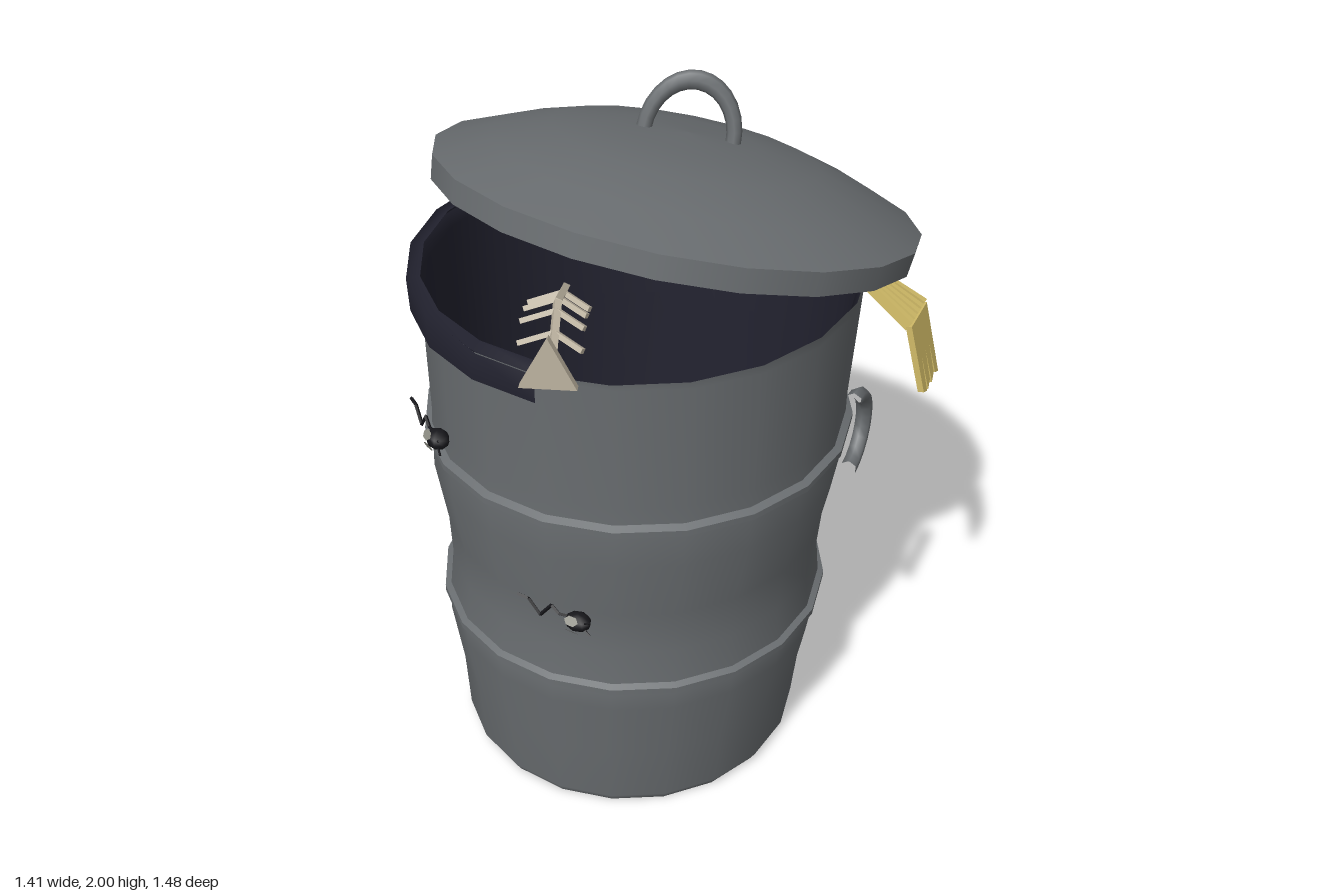
import * as THREE from 'three';

const mat = (name, color, side = THREE.FrontSide) => {
  const m = new THREE.MeshStandardMaterial({ color, side });
  m.name = name;
  return m;
};

export function createModel() {
  const metal = mat('grey metal', 0x6a6e71);
  const bag = mat('dark bag', 0x22222f, THREE.DoubleSide);
  const yellow = mat('peel yellow', 0xd2bc68);
  const bone = mat('bone', 0xbfb5a2);
  const black = mat('bug black', 0x18181c);
  const wing = mat('wing grey', 0x8a8a80, THREE.DoubleSide);

  const root = new THREE.Group();
  const add = (name, geo, material, parent = root) => {
    const m = new THREE.Mesh(geo, material);
    m.name = name;
    parent.add(m);
    return m;
  };
  const SIDES = 20;
  const v = (...p) => new THREE.Vector3(...p);
  const lathe = (pts, seg = SIDES, start = 0, len = Math.PI * 2) =>
    new THREE.LatheGeometry(pts.map(p => new THREE.Vector2(...p)), seg, start, len);

  // The can leans slightly to its left and its lip is pulled out at the front
  const lean = new THREE.Matrix4().set(1, 0.033, 0, -0.11, 0, 1, 0, 0, 0, 0, 1, -0.042, 0, 0, 0, 1);
  const canPart = geo => {
    const p = geo.attributes.position;
    for (let i = 0; i < p.count; i++)
      if (p.getY(i) > 1.52) p.setZ(i, p.getZ(i) + 0.045 * Math.max(0, p.getZ(i)));
    return geo.applyMatrix4(lean);
  };

  // Can body
  add('canBody', canPart(lathe([[0.48, 0], [0.497, 0.03], [0.51, 0.22], [0.541, 0.42], [0.541, 0.5],
    [0.527, 0.62], [0.535, 0.76], [0.567, 0.95], [0.567, 1.07], [0.565, 1.14], [0.577, 1.5], [0.582, 1.535]])), metal);
  add('canBottom', new THREE.CircleGeometry(0.48, SIDES).rotateZ(Math.PI / 2).rotateX(Math.PI / 2).applyMatrix4(lean), metal);
  add('canLining', canPart(lathe([[0.582, 1.535], [0.565, 1.5], [0.553, 1.1], [0.515, 0.6], [0.48, 0.06], [0, 0.06]])), bag);

  // Raised hoops, each made of two creased bands
  for (const [r, y] of [[0.556, 0.5], [0.586, 1.07]]) {
    const bands = [[[r - 0.03, y - 0.026], [r, y - 0.008]], [[r, y - 0.008], [r, y + 0.01]], [[r, y + 0.01], [r - 0.03, y + 0.024]]];
    for (const b of bands) add('hoop', lathe(b).applyMatrix4(lean), metal);
  }

  // Bag folded over the rim
  const fold = add('bagFold', lathe([[0.6, 1.44], [0.606, 1.535], [0.57, 1.538]], 8,
    -Math.PI * 0.8, Math.PI * 0.8).applyMatrix4(lean), bag);
  fold.position.set(-0.012, 0, -0.01);

  // Side handles, half rings bulging to the back
  for (const x of [-0.685, 0.535]) {
    const h = add('sideHandle', new THREE.TorusGeometry(0.108, 0.022, 6, 10, Math.PI), metal);
    h.geometry.rotateZ(Math.PI / 2).rotateY(-Math.PI / 2);
    h.position.set(x, 1.14, -0.04);
  }

  // Tilted lid
  const lid = new THREE.Group();
  lid.name = 'lid';
  lid.position.set(-0.005, 1.65, -0.12);
  lid.quaternion.setFromUnitVectors(v(0, 1, 0), v(0.09, 1, -0.275).normalize());
  root.add(lid);
  add('lidDome', lathe([[0.635, 0.062], [0.5, 0.118], [0.35, 0.168], [0.18, 0.193], [0, 0.2]]), metal, lid);
  add('lidRim', lathe([[0.63, 0], [0.635, 0.062]]), metal, lid);
  add('lidUnderside', new THREE.CircleGeometry(0.63, SIDES).rotateZ(Math.PI / 2).rotateX(Math.PI / 2), metal, lid);
  const grip = add('lidHandle', new THREE.TorusGeometry(0.115, 0.02, 8, 14, Math.PI), metal, lid);
  grip.position.set(0, 0.19, 0);
  grip.scale.y = 1.25;
  grip.rotation.y = 0.37;

  // Flat plate in a plane given by an origin, a width direction and a length direction
  const plate = (name, pts, depth, material, origin, wide, along) => {
    const geo = new THREE.ExtrudeGeometry(new THREE.Shape(pts.map(p => new THREE.Vector2(...p))), { depth, bevelEnabled: false });
    const n = v().crossVectors(wide, along).normalize();
    geo.translate(0, 0, -depth / 2);
    geo.applyMatrix4(new THREE.Matrix4().makeBasis(wide, along, n).setPosition(origin));
    return add(name, geo, material);
  };

  // Peel hanging out under the lid: fanned ribs, then a skirt of strips
  const start = v(0.49, 1.56, -0.162), bend = v(0.645, 1.465, -0.162), tip = v(0.695, 1.27, -0.162);
  const back = v(0, 0, -1);
  const slope = bend.clone().sub(start), drop = tip.clone().sub(bend);
  const top = slope.length(), hang = drop.length();
  plate('peelTop', [[-0.03, 0], [0.03, 0], [0.066, top], [-0.066, top]], 0.014, yellow, start, back, slope.normalize());
  for (let i = -2; i <= 2; i++) {
    plate('peelRib', [[i * 0.013 - 0.004, 0], [i * 0.013 + 0.004, 0], [i * 0.028 + 0.009, top], [i * 0.028 - 0.009, top]],
      0.028, yellow, start, back, slope);
  }
  const strips = [[-0.066, 0], [0.066, 0]];
  for (let i = 3; i >= 0; i--) {
    const c = -0.051 + i * 0.034;
    strips.push([c + 0.012, hang - (i % 3 ? 0.015 : 0)], [c - 0.012, hang - (i % 3 ? 0 : 0.01)]);
    if (i) strips.push([c - 0.017, hang * 0.5]);
  }
  plate('peelStrips', strips, 0.016, yellow, bend, back, drop.normalize());

  // Square bar between two points
  const bar = (name, a, b, r, material, parent = root) => {
    const d = b.clone().sub(a);
    const m = add(name, new THREE.CylinderGeometry(r, r, d.length(), 4).toNonIndexed(), material, parent);
    m.geometry.computeVertexNormals();
    m.position.copy(a).add(b).multiplyScalar(0.5);
    m.quaternion.setFromUnitVectors(v(0, 1, 0), d.normalize());
  };

  // Fish bones: bent spine, drooping ribs and a triangular end
  const spine = [v(0.02, 1.64, 0.63), v(-0.05, 1.675, 0.46), v(-0.13, 1.59, 0.26)];
  bar('fishSpine', spine[0], spine[1], 0.012, bone);
  bar('fishSpine', spine[1], spine[2], 0.012, bone);
  for (const t of [0.45, 0.85, 1.25, 1.65]) {
    const p = t < 1 ? spine[0].clone().lerp(spine[1], t) : spine[1].clone().lerp(spine[2], t - 1);
    for (const s of [-1, 1]) bar('fishRib', p, p.clone().add(v(s * 0.083, s * 0.01 - 0.025, 0.025)), 0.009, bone);
  }
  plate('fishEnd', [[-0.066, 0], [0.066, 0], [0.004, 0.13]], 0.02, bone,
    v(0.047, 1.615, 0.705), v(Math.cos(0.32), 0, -Math.sin(0.32)), v(0, 1, 0));

  // Bugs, each with a zigzag trail
  const zigzag = [[-0.19, 0.012], [-0.155, 0.012], [-0.12, -0.03], [-0.082, 0.02], [-0.06, 0], [-0.03, 0.005]];
  for (const [x, y, z, turn] of [[0, 0.75, 0.512, -0.12], [-0.42, 1.17, 0.445, -0.68]]) {
    const bug = new THREE.Group();
    bug.name = 'bug';
    bug.position.set(x, y, z);
    bug.rotation.y = turn;
    root.add(bug);
    add('bugBody', new THREE.SphereGeometry(1, 8, 6).scale(0.037, 0.026, 0.03), black, bug);
    for (const s of [-1, 1]) {
      const w = add('bugWing', new THREE.CircleGeometry(0.014, 6), wing, bug);
      w.scale.x = 1.5;
      w.position.set(-0.005, s * 0.018, 0.026);
      w.rotation.x = -s * 0.7;
      bar('bugFeeler', v(0.025, s * 0.01, 0.01), v(0.043, s * 0.022, 0.012), 0.003, black, bug);
    }
    for (let i = 1; i < zigzag.length; i++)
      bar('bugTrail', v(...zigzag[i - 1], 0), v(...zigzag[i], 0), 0.005, black, bug);
  }
  return root;
}
